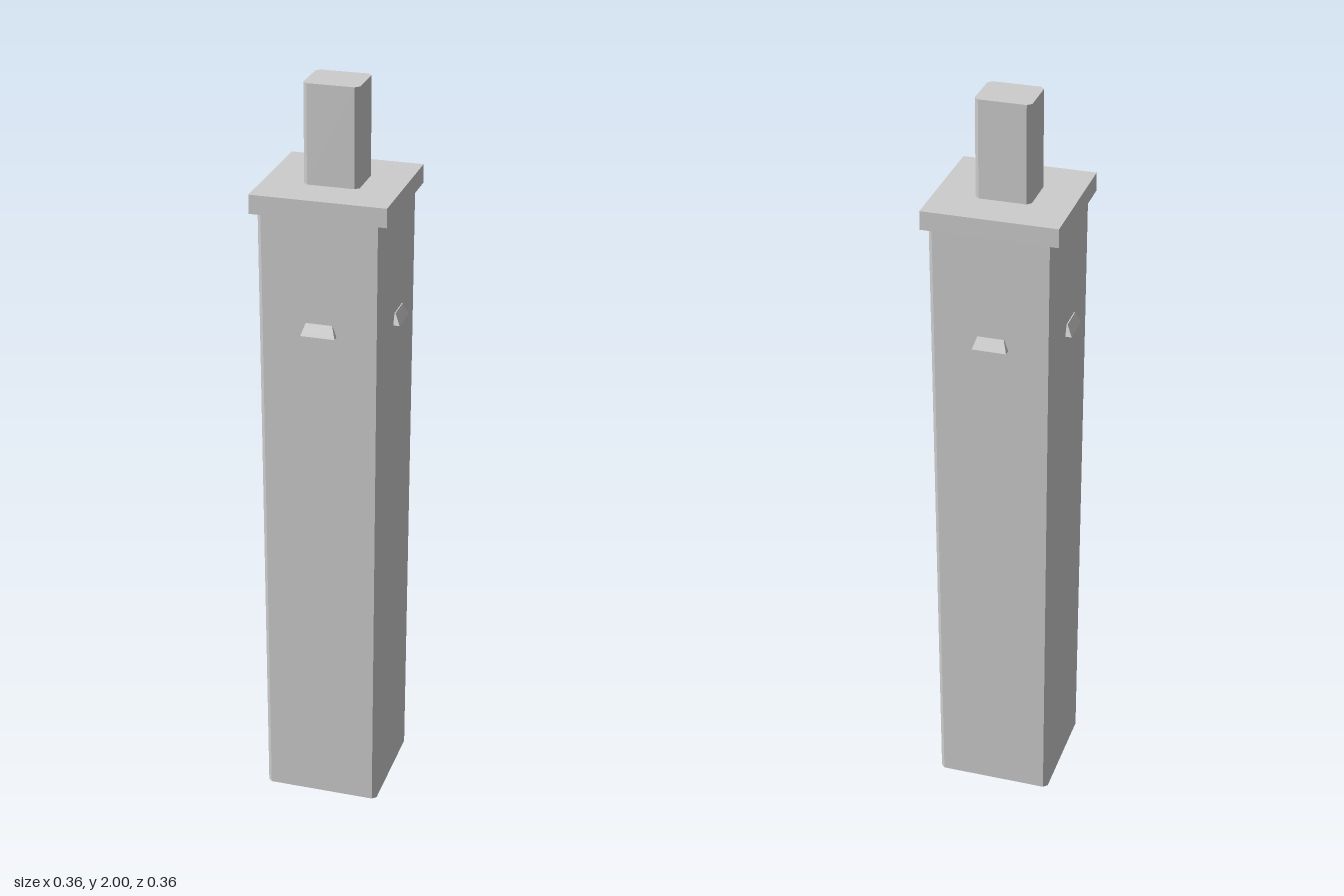
import * as THREE from 'three';

// Outline of a rectangle with cut corners, counterclockwise seen from above
function outline(hx, hz, c, y) {
  return [
    [hx, -hz + c], [hx - c, -hz], [-hx + c, -hz], [-hx, -hz + c],
    [-hx, hz - c], [-hx + c, hz], [hx - c, hz], [hx, hz - c],
  ].map(([x, z]) => new THREE.Vector3(x, y, z));
}

// Flat-shaded walls between two loops, with an optional lid
function loft(lower, upper, lid) {
  const points = [];
  const n = lower.length;
  for (let i = 0; i < n; i++) {
    const j = (i + 1) % n;
    points.push(lower[i], lower[j], upper[j], lower[i], upper[j], upper[i]);
    if (lid && i > 0 && i < n - 1) points.push(upper[0], upper[i], upper[j]);
  }
  const geometry = new THREE.BufferGeometry().setFromPoints(points);
  geometry.computeVertexNormals();
  return geometry;
}

export function createModel() {
  const group = new THREE.Group();
  const stone = new THREE.MeshStandardMaterial({ color: 0xcccccc, side: THREE.DoubleSide });
  stone.name = 'pale grey';

  const add = (name, geometry) => {
    const mesh = new THREE.Mesh(geometry, stone);
    mesh.name = name;
    group.add(mesh);
    return mesh;
  };

  // Hollow shaft, open below and slightly wider at the top
  add('shaft', loft(outline(0.157, 0.157, 0.011, 0), outline(0.162, 0.161, 0.011, 1.69), false));

  // Overhanging square slab
  add('capSlab', new THREE.BoxGeometry(0.354, 0.05, 0.348)).position.y = 1.715;

  // Narrow block on the slab
  add('topBlock', loft(outline(0.0725, 0.061, 0.011, 1.74), outline(0.0725, 0.061, 0.011, 2), true));

  // Small sloping ledge on each of the four sides
  const corners = (w, y, back, front) =>
    [[w, back], [-w, back], [-w, front], [w, front]].map(([x, z]) => new THREE.Vector3(x, y, z));
  const ledge = loft(corners(0.045, 1.38, 0.15, 0.178), corners(0.035, 1.41, 0.15, 0.164), true);
  const underside = new THREE.PlaneGeometry(0.09, 0.028).rotateX(Math.PI / 2).translate(0, 1.38, 0.164);
  ['front', 'left', 'back', 'right'].forEach((side, i) => {
    add(side + 'Ledge', ledge).rotation.y = i * Math.PI / 2;
    add(side + 'LedgeUnderside', underside).rotation.y = i * Math.PI / 2;
  });

  return group;
}
